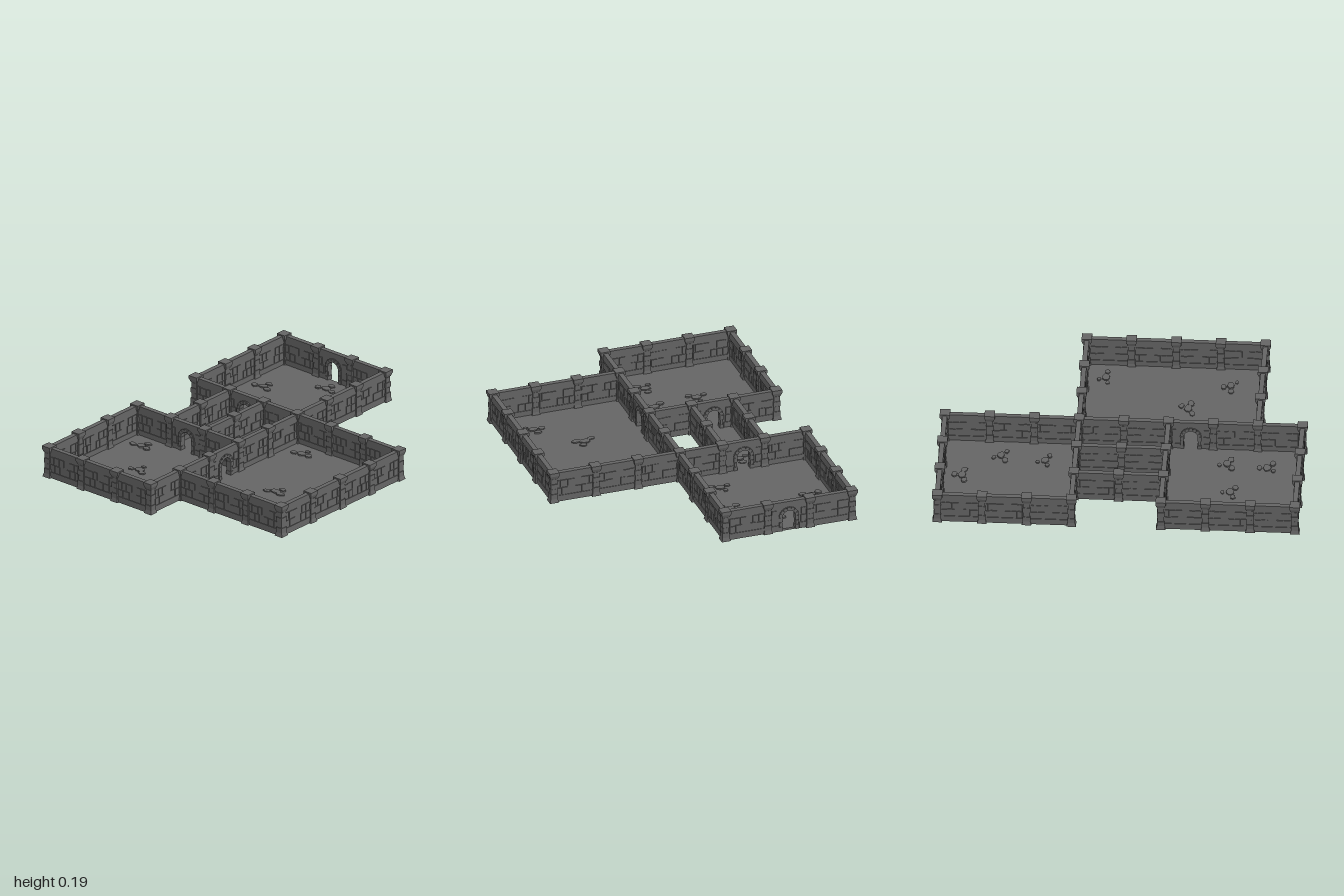
import * as THREE from 'three';
import { mergeGeometries } from 'three/addons/utils/BufferGeometryUtils.js';

const CELL = 0.243, Y0 = 0.014, TOP = 0.19;
const stone = new THREE.MeshStandardMaterial({ color: 0x646464 });
stone.name = 'greyStone';

let seed = 7;
const rand = () => (seed = (seed * 16807) % 2147483647) / 2147483647;

function box(w, h, d, x, y, z) {
  return new THREE.BoxGeometry(w, h, d).toNonIndexed().translate(x, y, z);
}

// square block whose width changes from bottom to top
function taper(wBottom, wTop, y0, y1) {
  const g = new THREE.CylinderGeometry(wTop / Math.SQRT2, wBottom / Math.SQRT2, y1 - y0, 4)
    .rotateY(Math.PI / 4).translate(0, (y0 + y1) / 2, 0).toNonIndexed();
  g.computeVertexNormals();
  return g;
}

// slightly uneven bricks on both faces; keepOut is the half width of a doorway
function bricks(keepOut) {
  const list = [];
  for (const side of [-1, 1]) {
    [0.054, 0.1].forEach((y, row) => {
      const h = 0.043;
      let x = -0.1;
      while (x < 0.095) {
        const w = Math.min(0.03 + rand() * 0.016 - (row && x === -0.1 ? 0.012 : 0), 0.1 - x);
        const mid = x + w / 2, proud = 0.003 + rand() * 0.002;
        if (w > 0.01 && Math.abs(mid) - w / 2 > keepOut) {
          const drop = rand() * 0.004;
          list.push(box(w - 0.004, h - drop, proud, mid, y + (h - drop) / 2, side * (0.01 + proud / 2)));
        }
        x += w;
      }
    });
  }
  return list;
}

// one plain wall cell, running along x and centred on the origin
function plainCell() {
  return mergeGeometries([
    box(CELL, TOP - Y0, 0.02, 0, (TOP + Y0) / 2, 0),
    box(CELL, 0.036, 0.027, 0, Y0 + 0.018, 0),
    box(CELL, 0.043, 0.027, 0, TOP - 0.0215, 0),
    ...bricks(0)
  ]);
}

// one wall cell with an arched opening and its stone surround
function doorCell() {
  const r = 0.038, spring = 0.098, half = CELL / 2;
  const shape = new THREE.Shape();
  shape.moveTo(-half, Y0);
  shape.lineTo(-r, Y0);
  shape.lineTo(-r, spring);
  shape.absarc(0, spring, r, Math.PI, 0, true);
  shape.lineTo(r, Y0);
  shape.lineTo(half, Y0);
  shape.lineTo(half, TOP);
  shape.lineTo(-half, TOP);
  const core = new THREE.ExtrudeGeometry(shape, { depth: 0.02, bevelEnabled: false, curveSegments: 10 })
    .translate(0, 0, -0.01);
  const parts = [core, box(CELL, 0.03, 0.027, 0, TOP - 0.015, 0), ...bricks(r + 0.018)];
  for (const s of [-1, 1]) {
    parts.push(box(0.06, 0.036, 0.027, s * 0.09, Y0 + 0.018, 0));
    for (let i = 0; i < 3; i++) {
      parts.push(box(i % 2 ? 0.016 : 0.021, 0.026, 0.034, s * (r + 0.009), Y0 + 0.014 + i * 0.028, 0));
    }
  }
  // wedge stones around the arch
  for (let i = 0; i < 7; i++) {
    const a = (i + 0.5) * Math.PI / 7;
    parts.push(box(0.02, 0.019, 0.034, r + 0.009, 0, 0).rotateZ(a).translate(0, spring, 0));
  }
  return mergeGeometries(parts);
}

// stacked-block pillar with flared foot and cap
function pillarGeometry() {
  const parts = [taper(0.052, 0.04, Y0, 0.036), taper(0.04, 0.054, 0.158, 0.178), taper(0.056, 0.056, 0.178, 0.197)];
  for (let i = 0; i < 4; i++) {
    const w = i % 2 ? 0.036 : 0.041, y = 0.036 + i * 0.0305;
    parts.push(taper(w, w, y, y + 0.0285));
  }
  parts.push(taper(0.033, 0.033, 0.03, 0.16));
  return mergeGeometries(parts);
}

// irregular flat cobble passing through the floor
function cobble(x, z, r) {
  const n = 6 + Math.floor(rand() * 3), turn = rand() * 6, pts = [];
  for (let i = 0; i < n; i++) {
    const a = turn + i / n * Math.PI * 2, q = r * (0.8 + rand() * 0.35);
    pts.push(new THREE.Vector2(Math.cos(a) * q, Math.sin(a) * q * 0.75));
  }
  return new THREE.ExtrudeGeometry(new THREE.Shape(pts), { depth: 0.022 + rand() * 0.004, bevelEnabled: false })
    .rotateX(-Math.PI / 2).translate(x, 0.003, z);
}

export function createModel() {
  const model = new THREE.Group();
  model.name = 'dungeonRooms';
  const add = (name, geometry, parent = model) => {
    const mesh = new THREE.Mesh(geometry, stone);
    mesh.name = name;
    parent.add(mesh);
    return mesh;
  };

  // floors: x0, x1, z0, z1 in grid cells
  const floors = {
    backRoomFloor: [-3, 0, -4, -1], frontRoomFloor: [-3, 0, 1, 4],
    sideRoomFloor: [0, 3, -1, 3], corridorFloor: [-2, -1, -1, 1]
  };
  for (const [name, [x0, x1, z0, z1]] of Object.entries(floors)) {
    add(name, box((x1 - x0) * CELL, 0.012, (z1 - z0) * CELL, (x0 + x1) / 2 * CELL, 0.014, (z0 + z1) / 2 * CELL));
  }

  // walls: runs along an axis at a fixed grid line, with the door's starting cell
  const runs = [
    ['x', -4, -3, 0, -2], ['x', -1, -3, 0, -2], ['x', 1, -3, 0, -2], ['x', 4, -3, 0],
    ['x', -1, 0, 3], ['x', 3, 0, 3],
    ['z', -3, -4, -1], ['z', -3, 1, 4], ['z', 0, -4, 4, 1], ['z', 3, -1, 3],
    ['z', -2, -1, 1], ['z', -1, -1, 1]
  ];
  const plain = [plainCell(), plainCell(), plainCell()], door = doorCell();
  const nodes = new Map();
  runs.forEach(([axis, line, from, to, doorAt], k) => {
    const wall = new THREE.Group();
    wall.name = 'wall' + (k + 1);
    model.add(wall);
    for (let i = from; i <= to; i++) {
      const node = axis === 'x' ? [i, line] : [line, i];
      nodes.set(node.join(), node);
      if (i === to) break;
      const isDoor = i === doorAt;
      const mesh = add(isDoor ? 'archedDoorway' : 'brickWall', isDoor ? door : plain[(i + k + 9) % 3], wall);
      const mid = (i + 0.5) * CELL;
      if (axis === 'x') mesh.position.set(mid, 0, line * CELL);
      else {
        mesh.position.set(line * CELL, 0, mid);
        mesh.rotation.y = Math.PI / 2;
      }
    }
  });

  // pillars at every wall joint
  const pillar = pillarGeometry();
  for (const [x, z] of nodes.values()) add('pillar', pillar, model).position.set(x * CELL, 0, z * CELL);

  // cobble patches in the floors
  const patches = [
    [-0.61, -0.66], [-0.33, -0.86], [-0.14, -0.66], [-0.17, -0.42],
    [-0.6, 0.36], [-0.4, 0.6], [-0.15, 0.57], [-0.17, 0.79],
    [0.13, -0.13], [0.6, -0.13], [0.34, 0.33], [0.56, 0.55], [-0.38, -0.14]
  ];
  for (const [x, z] of patches) {
    const stones = [cobble(x, z, 0.03)];
    for (let i = 0; i < 3; i++) {
      const a = i * 2.1 + rand();
      stones.push(cobble(x + Math.cos(a) * 0.05, z + Math.sin(a) * 0.042, 0.014 + rand() * 0.01));
    }
    add('cobblePatch', mergeGeometries(stones));
  }

  // rest on the ground
  const bounds = new THREE.Box3().setFromObject(model);
  for (const part of model.children) part.position.y -= bounds.min.y;
  return model;
}
